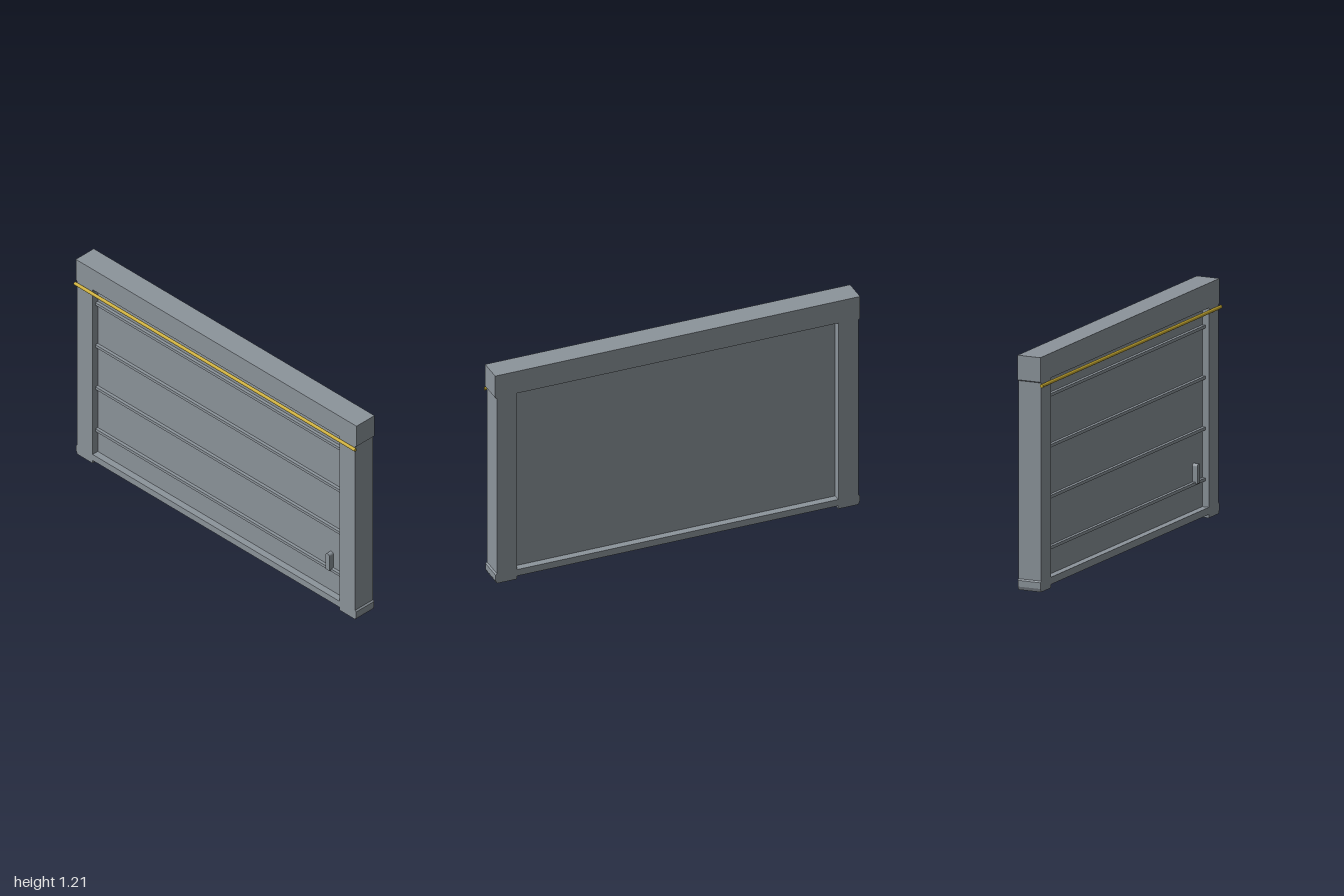
import * as THREE from 'three';

export function createModel() {
  const group = new THREE.Group();
  const steel = new THREE.MeshStandardMaterial({ color: 0x8c949b });
  steel.name = 'grey steel';
  const brass = new THREE.MeshStandardMaterial({ color: 0xc8aa30 });
  brass.name = 'yellow brass';

  const add = (name, geometry, material, x = 0, y = 0, z = 0) => {
    const mesh = new THREE.Mesh(geometry, material);
    mesh.name = name;
    mesh.position.set(x, y, z);
    group.add(mesh);
    return mesh;
  };
  const extrude = (shape, depth) =>
    new THREE.ExtrudeGeometry(shape, { depth, bevelEnabled: false, curveSegments: 6 });

  // Frame: header, posts, feet and sill as one mirrored outline with an opening
  const half = [
    [0.88, 0.018], [0.88, 0], [0.99, 0], [0.998, 0.018], [0.998, 0.05],
    [0.99, 0.057], [0.99, 1.08], [1, 1.086], [1, 1.213],
  ];
  const outline = [...half, ...half.map(([x, y]) => [-x, y]).reverse()];
  const frame = new THREE.Shape(outline.map(([x, y]) => new THREE.Vector2(x, y)));
  const opening = [[-0.88, 0.055], [-0.88, 1.085], [0.88, 1.085], [0.88, 0.055]];
  frame.holes.push(new THREE.Path(opening.map(([x, y]) => new THREE.Vector2(x, y))));
  add('frame', extrude(frame, 0.128), steel, 0, 0, -0.071);

  // Recessed door with horizontal ribs
  add('doorPanel', new THREE.BoxGeometry(1.76, 1.03, 0.052), steel, 0, 0.57, -0.006);
  for (let i = 0; i < 4; i++) {
    add('doorRib', new THREE.BoxGeometry(1.76, 0.016, 0.018), steel, 0, 0.197 + i * 0.263, 0.028);
  }

  // Upright handle with a rounded top
  const handle = new THREE.Shape();
  handle.moveTo(-0.014, 0);
  handle.lineTo(0.014, 0);
  handle.lineTo(0.014, 0.088);
  handle.absarc(0, 0.088, 0.014, 0, Math.PI, false);
  handle.closePath();
  add('handle', extrude(handle, 0.028), steel, 0.785, 0.197, 0.02);

  // Rod across the front, below the header
  const rod = add('frontRod', new THREE.CylinderGeometry(0.009, 0.009, 2, 12), brass, 0, 1.067, 0.064);
  rod.rotation.z = Math.PI / 2;

  return group;
}
